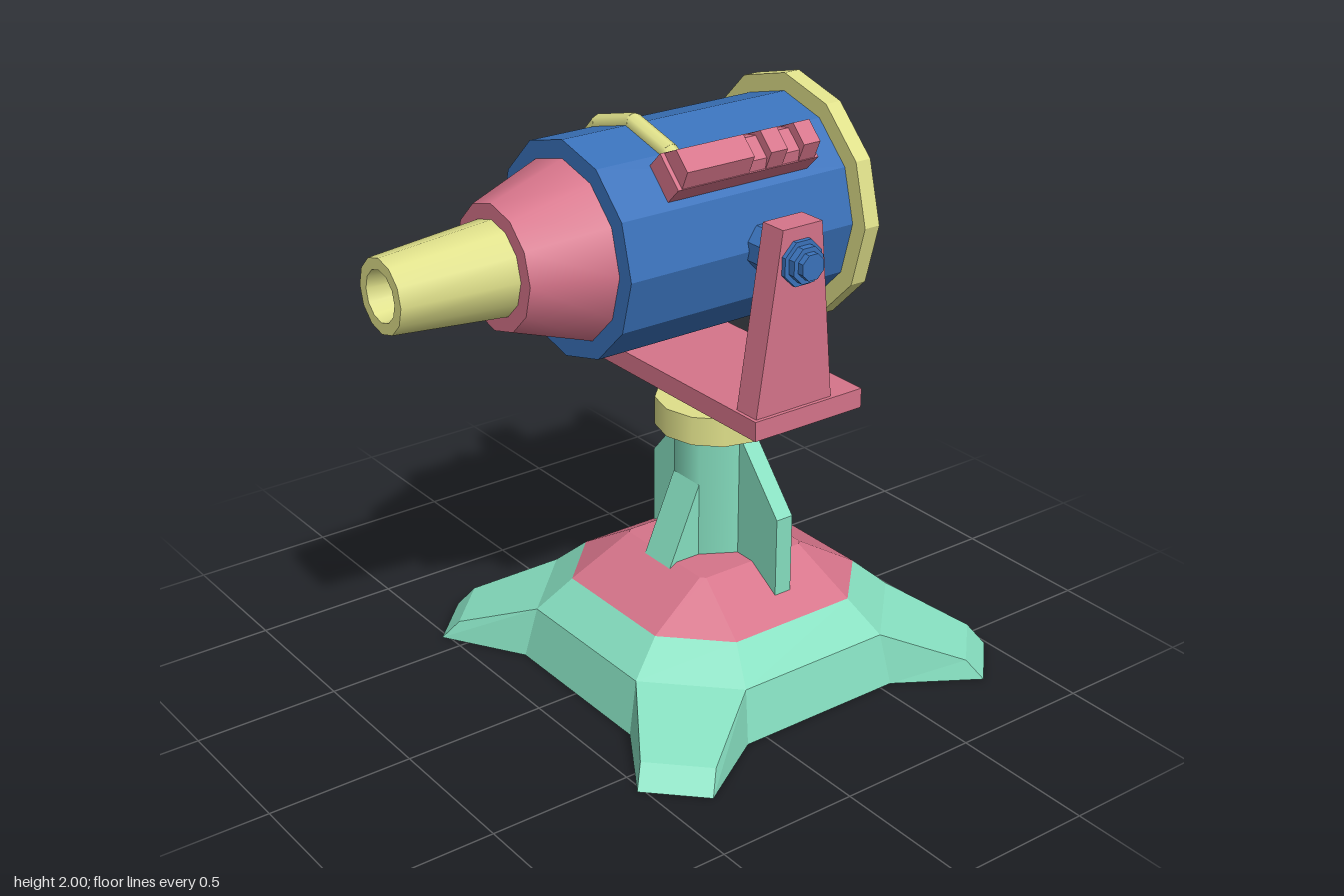
import * as THREE from 'three';

const GREEN = 0x86dfc0, PINK = 0xd6748a, YELLOW = 0xdfe08a, BLUE = 0x3a72bb;
const AX = -0.035, AY = 1.585, BASE_Z = -0.235; // barrel axis and stand centre

export function createModel() {
  const model = new THREE.Group();

  function add(name, geometry, color, flat = true, parent = model) {
    const material = new THREE.MeshStandardMaterial({ color, flatShading: flat });
    const mesh = new THREE.Mesh(geometry, material);
    mesh.name = name;
    parent.add(mesh);
    return mesh;
  }

  // Outline of [z, y] points extruded from x0 to x1
  function extrudeX(points, x0, x1) {
    const shape = new THREE.Shape(points.map(([z, y]) => new THREE.Vector2(-z, y)));
    return new THREE.ExtrudeGeometry(shape, { depth: x1 - x0, bevelEnabled: false })
      .rotateY(Math.PI / 2).translate(x0, 0, 0);
  }

  // Outline of [x, y] points extruded from z0 to z1
  function extrudeZ(points, z0, z1) {
    const shape = new THREE.Shape(points.map(([x, y]) => new THREE.Vector2(x, y)));
    return new THREE.ExtrudeGeometry(shape, { depth: z1 - z0, bevelEnabled: false }).translate(0, 0, z0);
  }

  // Cylinder or cone along z on the barrel axis
  function barrelPart(rBack, rFront, z0, z1) {
    return new THREE.CylinderGeometry(rFront, rBack, z1 - z0, 12)
      .rotateX(Math.PI / 2).translate(AX, AY, (z0 + z1) / 2);
  }

  // Ring of 16 points: notch and foot corner, mirrored and turned four times
  function ring(notch, foot) {
    const swap = ([x, y, z]) => [z, y, x];
    const corner = [notch, foot, swap(foot), swap(notch)];
    const points = [];
    for (let k = 0; k < 4; k++) {
      for (const [x, y, z] of corner) {
        points.push(new THREE.Vector3(x, y, z).applyAxisAngle(new THREE.Vector3(0, 1, 0), k * Math.PI / 2));
      }
    }
    return points;
  }

  // Skin through rings, with optional caps
  function skin(rings, capBottom, capTop) {
    const out = [];
    const tri = (a, b, c) => {
      const area = new THREE.Triangle(a, b, c).getArea();
      if (area > 1e-6) for (const p of [a, b, c]) out.push(p.x, p.y, p.z + BASE_Z);
    };
    const n = rings[0].length;
    for (let r = 0; r < rings.length - 1; r++) {
      for (let i = 0; i < n; i++) {
        const j = (i + 1) % n, lo = rings[r], up = rings[r + 1];
        tri(lo[i], lo[j], up[j]);
        tri(lo[i], up[j], up[i]);
      }
    }
    const cap = (pts, flip) => {
      const c = new THREE.Vector3(0, pts[0].y, 0);
      pts.forEach((p, i) => {
        const q = pts[(i + 1) % n];
        if (flip) tri(c, q, p); else tri(c, p, q);
      });
    };
    if (capBottom) cap(rings[0], true);
    if (capTop) cap(rings[rings.length - 1], false);
    const geometry = new THREE.BufferGeometry();
    geometry.setAttribute('position', new THREE.Float32BufferAttribute(out, 3));
    geometry.computeVertexNormals();
    return geometry;
  }

  // Four-footed base and its cap
  const notch = [0.29, 0.18, 0.545], shoulder = [0.24, 0.285, 0.43], crown = [0.2, 0.415, 0.215];
  add('footedBase', skin([
    ring([0.31, 0, 0.585], [0.585, 0, 0.755]),
    ring(notch, [0.54, 0.07, 0.71]),
    ring(notch, notch),
    ring(shoulder, shoulder),
  ], true, false), GREEN);
  add('baseCap', skin([ring(shoulder, shoulder), ring(crown, crown)], false, true), PINK);

  // Pillar, side fins, front strut and collar
  add('pillar', new THREE.CylinderGeometry(0.14, 0.14, 0.48, 6).rotateY(Math.PI / 6)
    .translate(0, 0.63, BASE_Z), GREEN, false);
  for (const s of [-1, 1]) {
    const outline = [[0.05, 0.33], [0.34, 0.33], [0.34, 0.62], [0.14, 0.85], [0.05, 0.85]];
    const pts = outline.map(([x, y]) => [s * x, y]);
    add('sideFin', extrudeZ(pts, -0.295, -0.23), GREEN);
  }
  add('frontStrut', extrudeX([[-0.16, 0.37], [0.02, 0.37], [-0.115, 0.68], [-0.16, 0.68]], -0.07, 0.07), GREEN);
  add('collar', new THREE.CylinderGeometry(0.205, 0.205, 0.1, 12).translate(0, 0.905, BASE_Z), YELLOW, false);

  // Yoke: plate and two tapering arms
  add('yokePlate', new THREE.BoxGeometry(1.035, 0.067, 0.435).translate(-0.0275, 1.063, -0.225), PINK);
  const arm = [[-0.01, 1.03], [-0.33, 1.03], [-0.265, 1.7], [-0.11, 1.7]];
  add('yokeArm', extrudeX(arm, -0.545, -0.445), PINK);
  add('yokeArm', extrudeX(arm, 0.38, 0.477), PINK);

  // Stepped pivots: [radius, inner x, outer x]
  for (const s of [-1, 1]) {
    for (const [r, x0, x1] of [[0.078, 0.3, 0.528], [0.062, 0.528, 0.553], [0.045, 0.553, 0.575]]) {
      add('pivot', new THREE.CylinderGeometry(r, r, x1 - x0, 8).rotateX(0).rotateY(Math.PI / 8)
        .rotateZ(Math.PI / 2).translate(AX + s * (x0 + x1) / 2, AY, -0.18), BLUE);
    }
  }

  // Housing, rear plate and front cone
  add('housing', barrelPart(0.355, 0.355, -0.53, 0.34), BLUE);
  add('rearPlate', barrelPart(0.415, 0.415, -0.59, -0.53), YELLOW);
  add('frontCone', barrelPart(0.295, 0.205, 0.34, 0.6), PINK, false);

  // Hollow nozzle: each wall is its own lathe so edges stay sharp
  const nozzle = new THREE.Group();
  nozzle.name = 'nozzle';
  model.add(nozzle);
  const walls = [[[0.155, 0.6], [0.12, 0.99]], [[0.12, 0.99], [0.083, 0.99]], [[0.083, 0.99], [0.06, 0.78]]];
  for (const wall of walls) {
    const geometry = new THREE.LatheGeometry(wall.map(([r, z]) => new THREE.Vector2(r, z)), 12)
      .rotateX(Math.PI / 2).translate(AX, AY, 0);
    add('nozzleWall', geometry, YELLOW, false, nozzle).material.side = THREE.DoubleSide;
  }
  add('nozzleCore', barrelPart(0.065, 0.065, 0.74, 0.79), BLUE, true, nozzle);

  // Pipe bent over the housing
  const bends = [152, 120, 90, 60, 52].map((deg) => {
    const a = THREE.MathUtils.degToRad(deg);
    return new THREE.Vector3(AX + 0.358 * Math.cos(a), AY + 0.358 * Math.sin(a), 0.072);
  });
  for (let i = 0; i < bends.length - 1; i++) {
    const dir = bends[i + 1].clone().sub(bends[i]);
    const pipe = add('pipe', new THREE.CylinderGeometry(0.032, 0.032, dir.length() + 0.012, 8), YELLOW, false);
    pipe.position.copy(bends[i]).addScaledVector(dir, 0.5);
    pipe.quaternion.setFromUnitVectors(new THREE.Vector3(0, 1, 0), dir.normalize());
  }

  // Sight rail on the upper left facet, local y pointing outward
  const rail = new THREE.Group();
  rail.name = 'sightRail';
  rail.position.set(AX, AY, 0);
  rail.rotation.z = -Math.PI / 4;
  model.add(rail);
  const foot = [[-0.065, 0.32], [0.065, 0.32], [0.065, 0.415], [-0.065, 0.415]];
  add('railFoot', extrudeZ(foot, -0.39, 0.155), PINK, true, rail);
  // Blocks: [back z, front z, top radius]
  const blocks = [[-0.115, 0.14, 0.475], [-0.18, -0.115, 0.445], [-0.245, -0.18, 0.475],
    [-0.31, -0.245, 0.445], [-0.375, -0.31, 0.475]];
  for (const [z0, z1, top] of blocks) {
    const outline = [[-0.065, 0.41], [0.065, 0.41], [0.04, top], [-0.04, top]];
    add('railBlock', extrudeZ(outline, z0, z1), PINK, true, rail);
  }

  return model;
}
